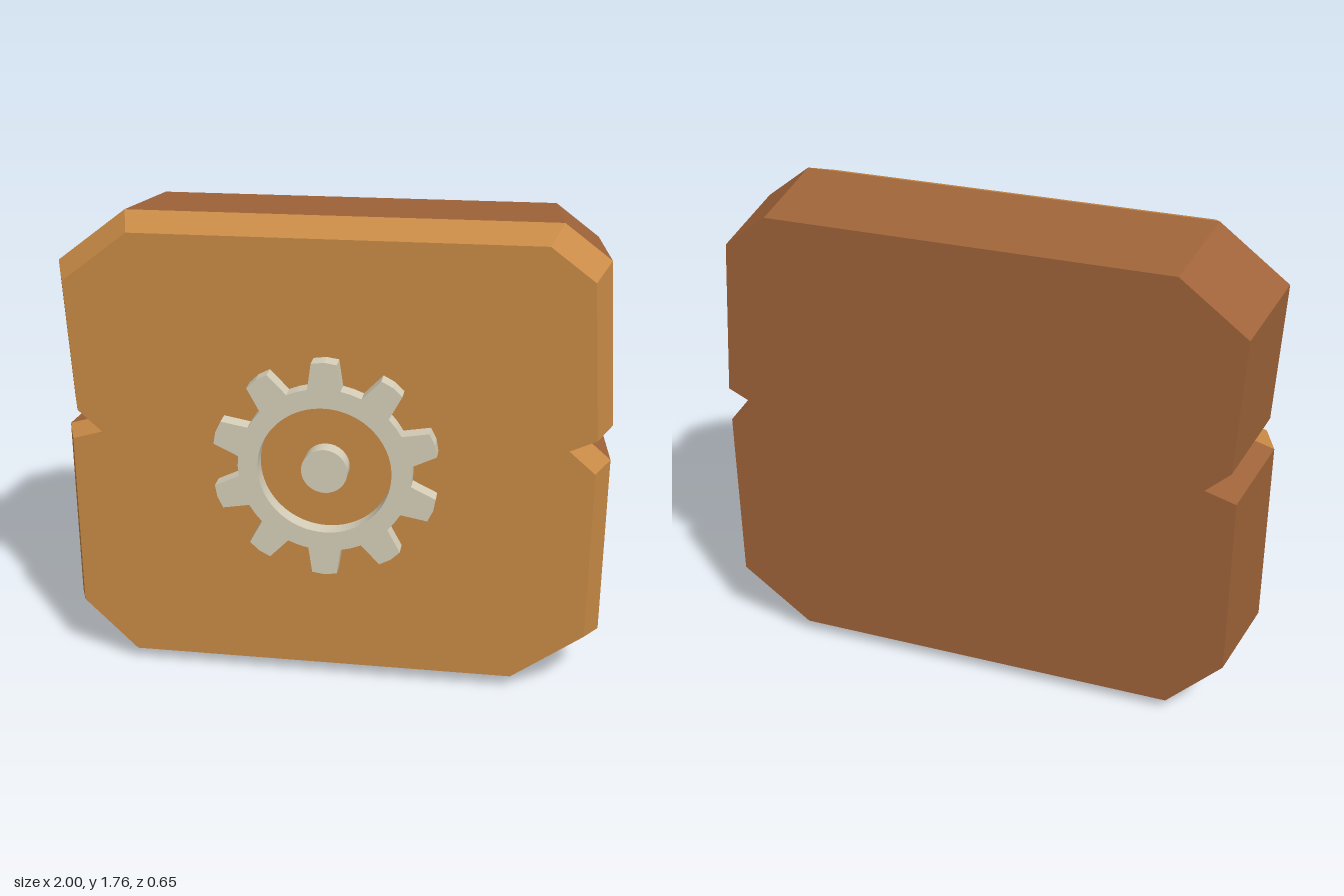
import * as THREE from 'three';

// Slab outline at its widest, counter-clockwise seen from the front
const OUTLINE = [
  [-1, 1.56], [-0.975, 1.045], [-0.883, 0.96], [-1, 0.925], [-1, 0.215], [-0.79, 0.005], [0.725, 0.015],
  [1, 0.22], [1, 0.91], [0.9, 0.997], [1, 1.045], [0.957, 1.645], [0.79, 1.77], [-0.745, 1.755],
];
const MID_Y = 0.888;

// Outline scaled about the slab centre at depth z
const ring = (scale, z) =>
  OUTLINE.map(([x, y]) => new THREE.Vector3(x * scale, MID_Y + (y - MID_Y) * scale, z));

// Band of quads between a front and a back ring, closed by a cap on one of them
function shell(front, back, capFront) {
  const pts = [];
  front.forEach((a, i) => {
    const j = (i + 1) % front.length;
    const b = front[j], c = back[i], d = back[j];
    pts.push(a, c, d, a, d, b);
  });
  const cap = capFront ? front : back;
  const flat = cap.map((p) => new THREE.Vector2(p.x, p.y));
  for (const [a, b, c] of THREE.ShapeUtils.triangulateShape(flat, [])) {
    if (capFront) pts.push(cap[a], cap[b], cap[c]);
    else pts.push(cap[a], cap[c], cap[b]);
  }
  const geo = new THREE.BufferGeometry().setFromPoints(pts);
  geo.computeVertexNormals();
  return geo;
}

// Ten-toothed ring with a round hole
function gearShape() {
  const shape = new THREE.Shape();
  const teeth = 10, root = 0.312, tip = 0.41;
  const pts = [];
  for (let i = 0; i < teeth; i++) {
    const mid = Math.PI / 2 + (i / teeth) * Math.PI * 2;
    const profile = [[root, -0.19], [tip - 0.004, -0.112], [tip, 0], [tip - 0.004, 0.112], [root, 0.19], [root, Math.PI / teeth]];
    for (const [r, a] of profile) {
      pts.push(new THREE.Vector2(r * Math.cos(mid + a), r * Math.sin(mid + a)));
    }
  }
  shape.setFromPoints(pts);
  shape.holes.push(new THREE.Path().absarc(0, 0, 0.24, 0, Math.PI * 2, true));
  return shape;
}

export function createModel() {
  const model = new THREE.Group();
  const frontWood = new THREE.MeshStandardMaterial({ color: 0xc88a46 });
  frontWood.name = 'light wood';
  const sideWood = new THREE.MeshStandardMaterial({ color: 0xa06439 });
  sideWood.name = 'dark wood';
  const bone = new THREE.MeshStandardMaterial({ color: 0xd6ceb8 });
  bone.name = 'pale metal';

  const add = (name, geo, mat, parent) => {
    const mesh = new THREE.Mesh(geo, mat);
    mesh.name = name;
    parent.add(mesh);
    return mesh;
  };

  // Slab: bevelled front face, then tapering sides and back
  const slab = new THREE.Group();
  slab.name = 'slab';
  const front = ring(0.947, 0.235), widest = ring(1, 0.1), back = ring(0.953, -0.325);
  add('slabFront', shell(front, widest, true), frontWood, slab);
  add('slabBack', shell(widest, back, false), sideWood, slab);
  model.add(slab);

  // Gear emblem floating just ahead of the front face
  const gear = new THREE.Group();
  gear.name = 'gear';
  gear.position.set(0, 0.895, 0.265);
  const ringGeo = new THREE.ExtrudeGeometry(gearShape(), { depth: 0.06, bevelEnabled: false, curveSegments: 40 });
  add('gearRing', ringGeo, bone, gear);
  const hub = add('gearHub', new THREE.CylinderGeometry(0.083, 0.083, 0.06, 32), bone, gear);
  hub.rotation.x = Math.PI / 2;
  hub.position.z = 0.03;
  model.add(gear);

  return model;
}
